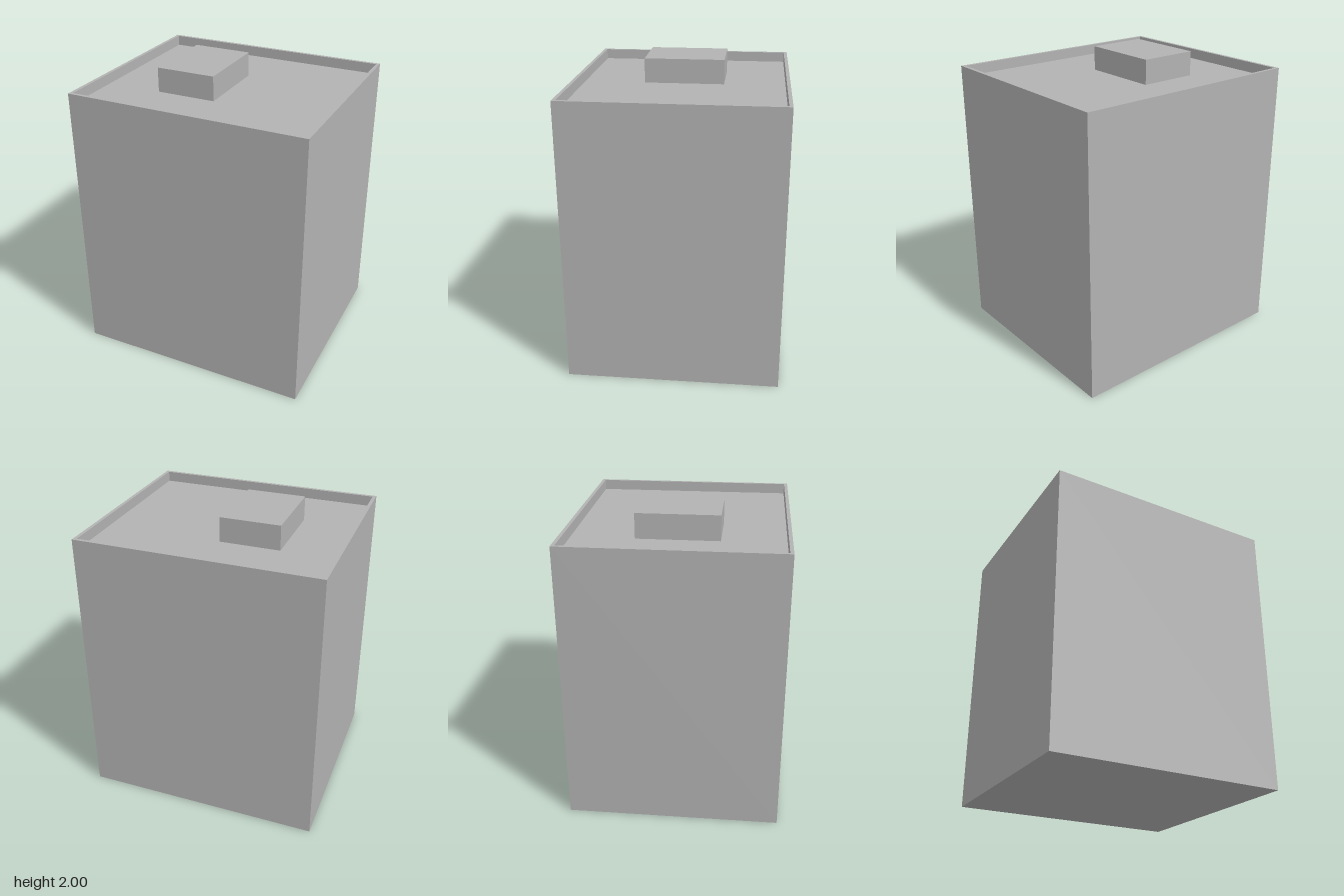
import * as THREE from 'three';

const WIDTH = 1.61, DEPTH = 1.41, HEIGHT = 1.905;
const WALL = 0.023, ROOF = 1.835;

// Rectangle outline centred on the origin
function rectangle(target, w, d) {
  target.moveTo(-w / 2, -d / 2);
  target.lineTo(w / 2, -d / 2);
  target.lineTo(w / 2, d / 2);
  target.lineTo(-w / 2, d / 2);
  target.closePath();
  return target;
}

export function createModel() {
  const grey = new THREE.MeshStandardMaterial({ color: 0xb2b2b2 });
  grey.name = 'concrete grey';
  const model = new THREE.Group();
  model.name = 'flatRoofBuilding';

  const add = (name, geometry, x, y, z) => {
    const mesh = new THREE.Mesh(geometry, grey);
    mesh.name = name;
    mesh.position.set(x, y, z);
    model.add(mesh);
  };

  // Outer walls, rising past the roof as a thin parapet
  const outline = rectangle(new THREE.Shape(), WIDTH, DEPTH);
  outline.holes.push(rectangle(new THREE.Path(), WIDTH - 2 * WALL, DEPTH - 2 * WALL));
  const walls = new THREE.ExtrudeGeometry(outline, { depth: HEIGHT, bevelEnabled: false });
  walls.rotateX(-Math.PI / 2);
  add('walls', walls, 0, 0, 0);

  // Solid core whose top is the sunken roof and whose bottom is the base
  add('roofAndBase', new THREE.BoxGeometry(WIDTH - 2 * WALL, ROOF, DEPTH - 2 * WALL), 0, ROOF / 2, 0);

  // Rooftop box, set to one side
  add('rooftopBox', new THREE.BoxGeometry(0.402, 2 - ROOF, 0.54), -0.203, (2 + ROOF) / 2, 0);

  return model;
}
